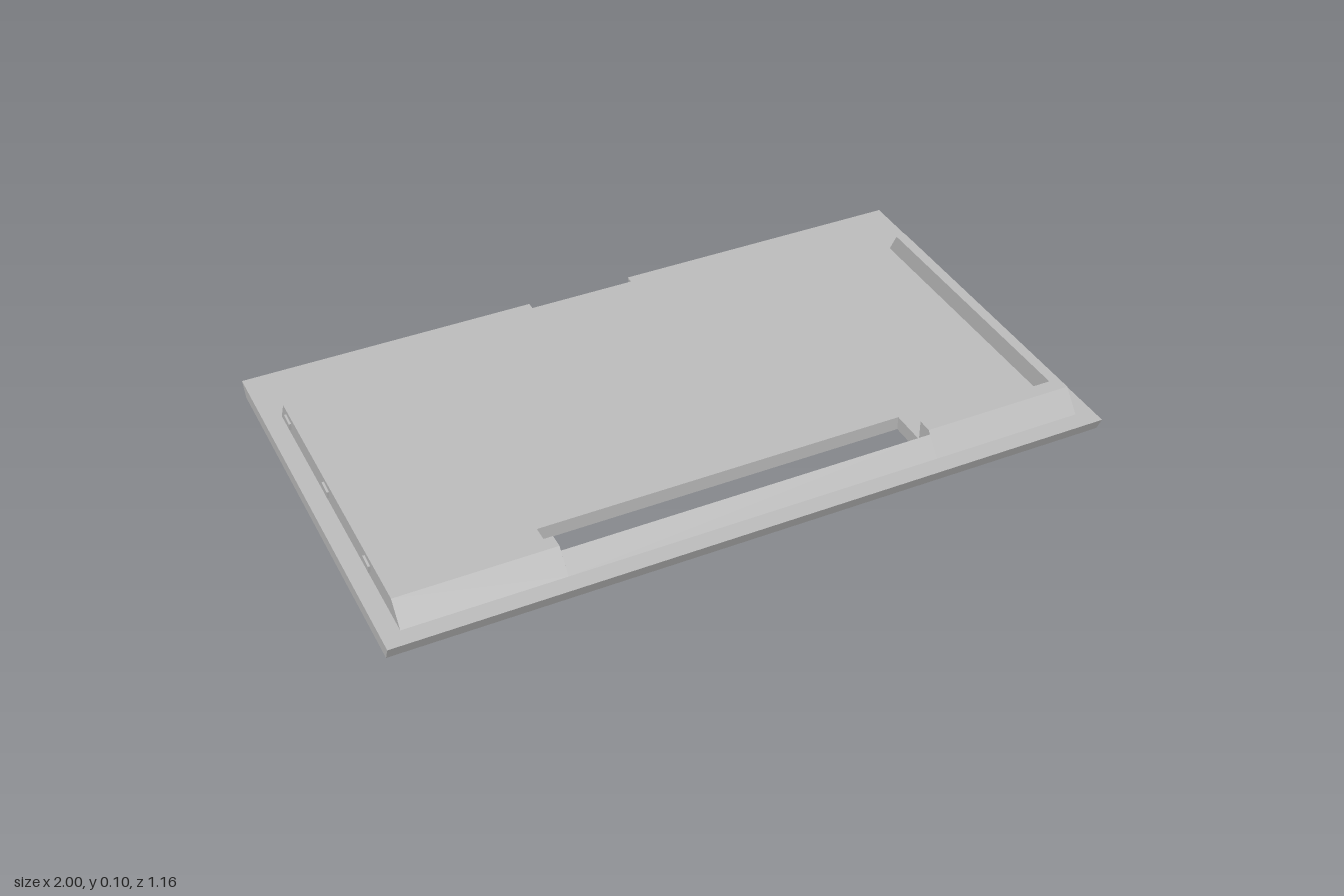
import * as THREE from 'three';

const gray = new THREE.MeshStandardMaterial({ color: 0xbcbcbc });
gray.name = 'gray';

const path = (points) => points.map(([a, b]) => new THREE.Vector2(a, b));

// Plan outline of [x, z] points raised from y0 to y1; slope(z, isTop) moves z for bevelled ends.
function raisedPlan(points, holes, y0, y1, slope) {
  const flip = (list) => path(list.map(([x, z]) => [x, -z]));
  const shape = new THREE.Shape(flip(points));
  holes.forEach((h) => shape.holes.push(new THREE.Path(flip(h))));
  const geo = new THREE.ExtrudeGeometry(shape, { depth: y1 - y0, bevelEnabled: false });
  geo.rotateX(-Math.PI / 2).translate(0, y0, 0);
  const pos = geo.attributes.position;
  const mid = (y0 + y1) / 2;
  for (let i = 0; i < pos.count; i++) pos.setZ(i, slope(pos.getZ(i), pos.getY(i) > mid));
  geo.computeVertexNormals();
  return geo;
}

// Side profile of [z, y] points swept along x.
function prism(profile, x0, x1) {
  const shape = new THREE.Shape(path(profile.map(([z, y]) => [-z, y])));
  const geo = new THREE.ExtrudeGeometry(shape, { depth: x1 - x0, bevelEnabled: false });
  return geo.rotateY(Math.PI / 2).translate(x0, 0, 0);
}

export function createModel() {
  const model = new THREE.Group();
  model.name = 'coverPanel';
  const add = (name, geo) => {
    const mesh = new THREE.Mesh(geo, gray);
    mesh.name = name;
    model.add(mesh);
  };

  const slotX = 0.52, slotFront = 0.488, notchX = 0.155, plateTop = 0.04;

  // Base plate with slot and rear notch; front and back edges slope inward below
  const outline = [
    [-1, 0.58], [1, 0.58], [1, -0.58], [notchX, -0.58], [notchX, -0.557],
    [-notchX, -0.557], [-notchX, -0.58], [-1, -0.58],
  ];
  const slot = [[-slotX, 0.335], [slotX, 0.335], [slotX, slotFront], [-slotX, slotFront]];
  add('basePlate', raisedPlan(outline, [slot], 0, plateTop,
    (z, top) => (top ? z : THREE.MathUtils.clamp(z, -0.555, 0.562))));

  // Ledge left under the rear notch
  add('notchLedge', prism([[-0.555, 0], [-0.557, 0.024], [-0.57, 0.024]], -notchX, notchX));

  // Rim: an L on each side, with sloped front face and sloped rear end
  const rimSlope = (z, top) => {
    if (top && z > 0.5) return 0.48;
    if (top && z < -0.37) return -0.35;
    return z;
  };
  for (const side of [1, -1]) {
    const label = side > 0 ? 'left' : 'right';
    const plan = [
      [slotX, 0.53], [0.95, 0.53], [0.95, -0.382], [0.92, -0.382], [0.92, 0.44], [slotX, 0.44],
    ].map(([x, z]) => [x * side, z]);
    add(label + 'Rim', raisedPlan(plan, [], plateTop, 0.099, rimSlope));

    // Small skewed snap tabs on the outer wall
    for (const z of [0.308, -0.001, -0.31]) {
      const tab = [[z + 0.022, 0.08], [z + 0.018, 0.058], [z - 0.022, 0.062], [z - 0.018, 0.084]];
      add(label + 'SnapTab', side > 0 ? prism(tab, 0.949, 0.956) : prism(tab, -0.956, -0.949));
    }
  }

  // Thin wedge of the front rim, in front of the slot
  add('frontLip', prism([[slotFront, plateTop], [0.53, plateTop], [slotFront, 0.09]], -slotX, slotX));

  return model;
}
